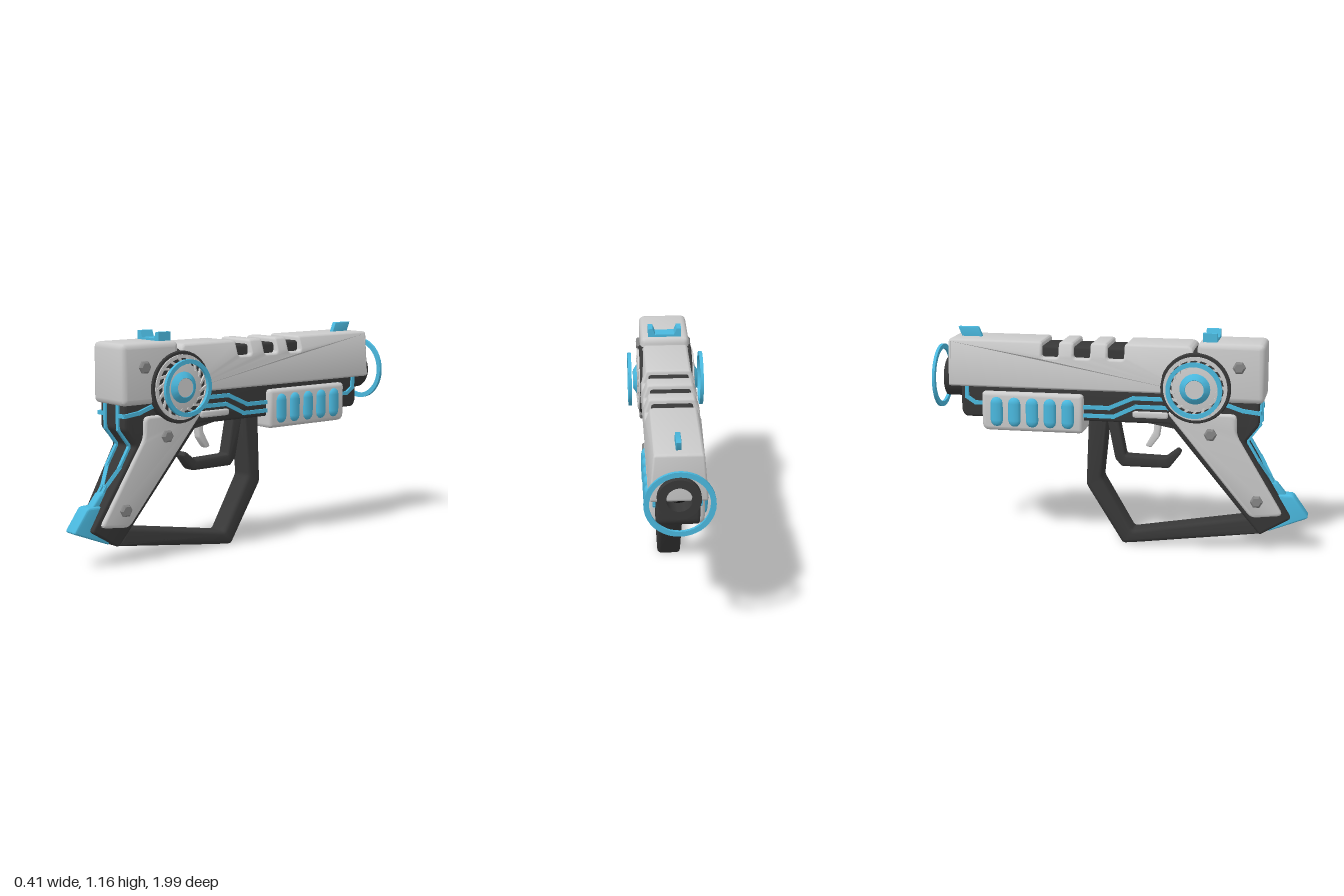
import * as THREE from 'three';
import { toCreasedNormals } from 'three/addons/utils/BufferGeometryUtils.js';

const paint = (color) => new THREE.MeshStandardMaterial({ color });
const GREY = paint(0xcccccc), DARK = paint(0x383838), BLUE = paint(0x4ab8de), STEEL = paint(0x858585);

function add(parent, name, geometry, material) {
  const mesh = new THREE.Mesh(geometry, material);
  mesh.name = name;
  parent.add(mesh);
  return mesh;
}

// Closed outline with every corner softened by radius r
function softShape(points, r) {
  const shape = new THREE.Shape();
  const v = points.map(([a, b]) => new THREE.Vector2(a, b));
  v.forEach((p, i) => {
    const toward = (q) => {
      const d = q.clone().sub(p);
      return p.clone().add(d.setLength(Math.min(r, d.length() * 0.45)));
    };
    const a = toward(v[(i + v.length - 1) % v.length]);
    const b = toward(v[(i + 1) % v.length]);
    if (i === 0) shape.moveTo(a.x, a.y); else shape.lineTo(a.x, a.y);
    shape.quadraticCurveTo(p.x, p.y, b.x, b.y);
  });
  shape.closePath();
  return shape;
}

// Side profile of [z, y] points, extruded across x; squeeze(y) scales the width
function slab(parent, name, material, points, width, { x = 0, bevel = 0.015, round = 0.015, squeeze } = {}) {
  const depth = width - 2 * bevel;
  const g = new THREE.ExtrudeGeometry(softShape(points, round), {
    depth, curveSegments: 3, bevelThickness: bevel, bevelSize: bevel, bevelOffset: -bevel, bevelSegments: 3,
  });
  g.translate(0, 0, -depth / 2).rotateY(-Math.PI / 2).translate(x, 0, 0);
  if (squeeze) {
    const p = g.attributes.position;
    for (let i = 0; i < p.count; i++) p.setX(i, p.getX(i) * squeeze(p.getY(i)));
  }
  return add(parent, name, toCreasedNormals(g, 0.7), material);
}

// Turned part from [radius, height] points, along +x or -z
function turned(parent, name, material, profile, axis, segments = 40) {
  const g = new THREE.LatheGeometry(profile.map(([r, h]) => new THREE.Vector2(r, h)), segments);
  if (axis === 'x') g.rotateZ(-Math.PI / 2); else g.rotateX(-Math.PI / 2);
  return add(parent, name, toCreasedNormals(g, 0.6), material);
}
const hoop = (inner, outer, from, to) => [[inner, from], [outer, from], [outer, to], [inner, to], [inner, from]];

// Square strip following a path of [x, y, z] points
function strip(parent, name, material, points, size = 0.02) {
  const group = new THREE.Group();
  group.name = name;
  const v = points.map((p) => new THREE.Vector3(...p));
  for (let i = 1; i < v.length; i++) {
    const length = v[i].distanceTo(v[i - 1]) + size * 0.7;
    const bar = add(group, name + 'Segment', new THREE.BoxGeometry(size, size, length), material);
    bar.position.copy(v[i]).add(v[i - 1]).multiplyScalar(0.5);
    bar.lookAt(v[i]);
  }
  parent.add(group);
}

// Everything that exists once per side, built on +x
function buildSide() {
  const side = new THREE.Group();

  slab(side, 'gripPanel', GREY, [[0.87, 0.21], [0.62, 0.64], [0.62, 0.75], [0.25, 0.75], [0.70, 0.19]], 0.045,
    { x: 0.104, round: 0.03, squeeze: (y) => 0.75 + 0.25 * (y - 0.2) / 0.55 });

  for (const [z, y, x] of [[0.63, 1.0, 0.136], [0.485, 0.64, 0.125], [0.73, 0.285, 0.104]]) {
    const bolt = turned(side, 'bolt', STEEL, [[0.034, -0.02], [0.034, 0.008], [0.024, 0.016], [0, 0.016]], 'x', 6);
    bolt.position.set(x, y, z);
  }

  // Round dial with a hovering ring
  const dial = new THREE.Group();
  dial.name = 'dial';
  dial.position.set(0, 0.885, 0.405);
  side.add(dial);
  turned(dial, 'dialHousing', DARK, [[0.185, 0], [0.185, 0.136], [0.18, 0.142], [0, 0.142]], 'x');
  turned(dial, 'dialRim', GREY, hoop(0.148, 0.167, 0.13, 0.15), 'x');
  turned(dial, 'dialPlate', GREY, [[0.122, 0.13], [0.122, 0.15], [0.08, 0.156], [0, 0.156]], 'x');
  turned(dial, 'dialCone', BLUE, [[0.088, 0.145], [0.08, 0.156], [0.05, 0.176], [0.045, 0.17]], 'x');
  turned(dial, 'dialCentre', GREY, [[0.05, 0.15], [0.05, 0.174], [0, 0.174]], 'x');
  turned(dial, 'hoverRing', BLUE, hoop(0.124, 0.146, 0.186, 0.204), 'x');
  for (let i = 0; i < 18; i++) {
    const a = i / 18 * Math.PI * 2, b = a + 0.25;
    strip(dial, 'dialSpoke', GREY, [
      [0.146, 0.157 * Math.sin(a), 0.157 * Math.cos(a)],
      [0.15, 0.115 * Math.sin(b), 0.115 * Math.cos(b)]], 0.012);
  }

  // Light strips along the frame and down the back of the grip
  const x = 0.108;
  strip(side, 'rearLight', BLUE, [[0.055, 0.76, 0.735], [x, 0.76, 0.735], [x, 0.77, 0.65], [x, 0.80, 0.56]]);
  strip(side, 'upperLight', BLUE, [[x, 0.815, 0.27], [x, 0.815, 0.075], [x, 0.757, -0.055], [x, 0.757, -0.2]]);
  strip(side, 'lowerLight', BLUE, [[x, 0.77, 0.29], [x, 0.77, 0.09], [x, 0.712, -0.03], [x, 0.712, -0.2]]);
  strip(side, 'frontLight', BLUE, [[x, 0.76, -0.72], [x, 0.76, -0.78], [x, 0.79, -0.825], [x, 0.85, -0.825]]);
  strip(side, 'gripLight', BLUE, [[0.055, 0.82, 0.735], [0.055, 0.69, 0.735], [0.055, 0.6, 0.668],
    [0.055, 0.495, 0.73], [0.016, 0.4, 0.787], [0.016, 0.35, 0.817]]);

  // Glowing cells on the fore-end
  for (let i = 0; i < 5; i++) {
    const cell = add(side, 'energyCell', new THREE.CapsuleGeometry(0.035, 0.09, 3, 10), BLUE);
    cell.scale.x = 0.6;
    cell.position.set(0.136, 0.72, -0.27 - i * 0.0965);
  }
  return side;
}

export function createModel() {
  const model = new THREE.Group();
  model.name = 'blaster';

  // Slide with three notches over a dark core
  const slidePoints = [[0.39, 0.85], [0.39, 1.08], [0.37, 1.10]];
  for (const z of [0.03, -0.15, -0.32]) {
    slidePoints.push([z, 1.10], [z, 1.02], [z - 0.09, 1.02], [z - 0.09, 1.10]);
  }
  slidePoints.push([-0.92, 1.10], [-0.92, 0.85]);
  slab(model, 'slide', GREY, slidePoints, 0.28,
    { bevel: 0.012, round: 0.015, squeeze: (y) => 1 - 0.18 * Math.max(0, (y - 1.03) / 0.07) });
  slab(model, 'slideCore', DARK, [[0.46, 0.86], [0.46, 1.075], [-0.5, 1.075], [-0.5, 0.86]], 0.21);
  slab(model, 'rearBlock', GREY, [[0.76, 0.81], [0.76, 1.12], [0.41, 1.12], [0.41, 0.81]], 0.262,
    { bevel: 0.028, round: 0.03 });

  // Frame and grip core in one profile
  slab(model, 'frame', DARK, [[0.735, 0.88], [0.735, 0.69], [0.665, 0.6], [0.91, 0.19], [0.745, 0.09], [0.27, 0.68],
    [-0.84, 0.68], [-0.86, 0.71], [-0.86, 0.88]], 0.212,
  { squeeze: (y) => 1 - 0.4 * Math.max(0, (0.68 - y) / 0.58) });
  slab(model, 'foreEnd', GREY, [[-0.19, 0.615], [-0.19, 0.825], [-0.74, 0.825], [-0.74, 0.64], [-0.72, 0.615]], 0.276,
    { bevel: 0.022, round: 0.022 });

  // Hand guard, trigger guard and trigger
  slab(model, 'handGuard', DARK, [[0.75, 0.095], [0.10, 0.01], [0.01, 0], [-0.19, 0.32], [-0.175, 0.70],
    [-0.07, 0.70], [-0.105, 0.36], [0.06, 0.075], [0.70, 0.185]], 0.126, { bevel: 0.02 });
  slab(model, 'triggerGuard', DARK, [[0.32, 0.51], [0.255, 0.425], [0, 0.425], [-0.035, 0.465], [-0.08, 0.69],
    [-0.02, 0.69], [0.02, 0.485], [0.235, 0.48], [0.30, 0.53]], 0.08, { bevel: 0.01, round: 0.01 });
  slab(model, 'trigger', GREY, [[0.215, 0.70], [0.2, 0.59], [0.155, 0.53], [0.125, 0.54], [0.17, 0.62], [0.175, 0.70]],
    0.045, { bevel: 0.008, round: 0.01 });
  slab(model, 'triggerPlate', GREY, [[0.26, 0.71], [0.26, 0.745], [0.07, 0.745], [0.07, 0.71]], 0.23, { bevel: 0.008 });

  // Blue butt cap under the grip
  slab(model, 'buttCap', BLUE, [[1.0, 0.19], [0.915, 0.31], [0.83, 0.31], [0.785, 0.105]], 0.086, { bevel: 0.01 });
  slab(model, 'buttNeck', BLUE, [[0.885, 0.30], [0.825, 0.375], [0.78, 0.375], [0.80, 0.28]], 0.055, { bevel: 0.01 });

  // Barrel and muzzle ring
  const barrel = turned(model, 'barrel', DARK, hoop(0.062, 0.105, 0.8, 0.955), 'z');
  const bore = turned(model, 'bore', paint(0x111111), [[0.07, 0.84], [0.07, 0.87], [0, 0.87]], 'z');
  const ring = turned(model, 'muzzleRing', BLUE, hoop(0.144, 0.17, 0.985, 1.0), 'z');
  for (const part of [barrel, bore, ring]) part.position.y = 0.88;

  // Sights
  const notch = new THREE.Shape([[-0.09, 1.1], [0.09, 1.1], [0.09, 1.165], [0.065, 1.165], [0.052, 1.132],
    [-0.052, 1.132], [-0.065, 1.165], [-0.09, 1.165]].map((p) => new THREE.Vector2(...p)));
  const rearSight = new THREE.ExtrudeGeometry(notch, { depth: 0.075, bevelEnabled: false });
  add(model, 'rearSight', rearSight.translate(0, 0, 0.435), BLUE);
  slab(model, 'frontSight', BLUE, [[-0.76, 1.09], [-0.785, 1.15], [-0.895, 1.15], [-0.87, 1.09]], 0.026,
    { bevel: 0.003, round: 0.003 });

  const left = buildSide(), right = buildSide();
  left.name = 'leftSide';
  right.name = 'rightSide';
  right.scale.x = -1;
  model.add(left, right);
  return model;
}
